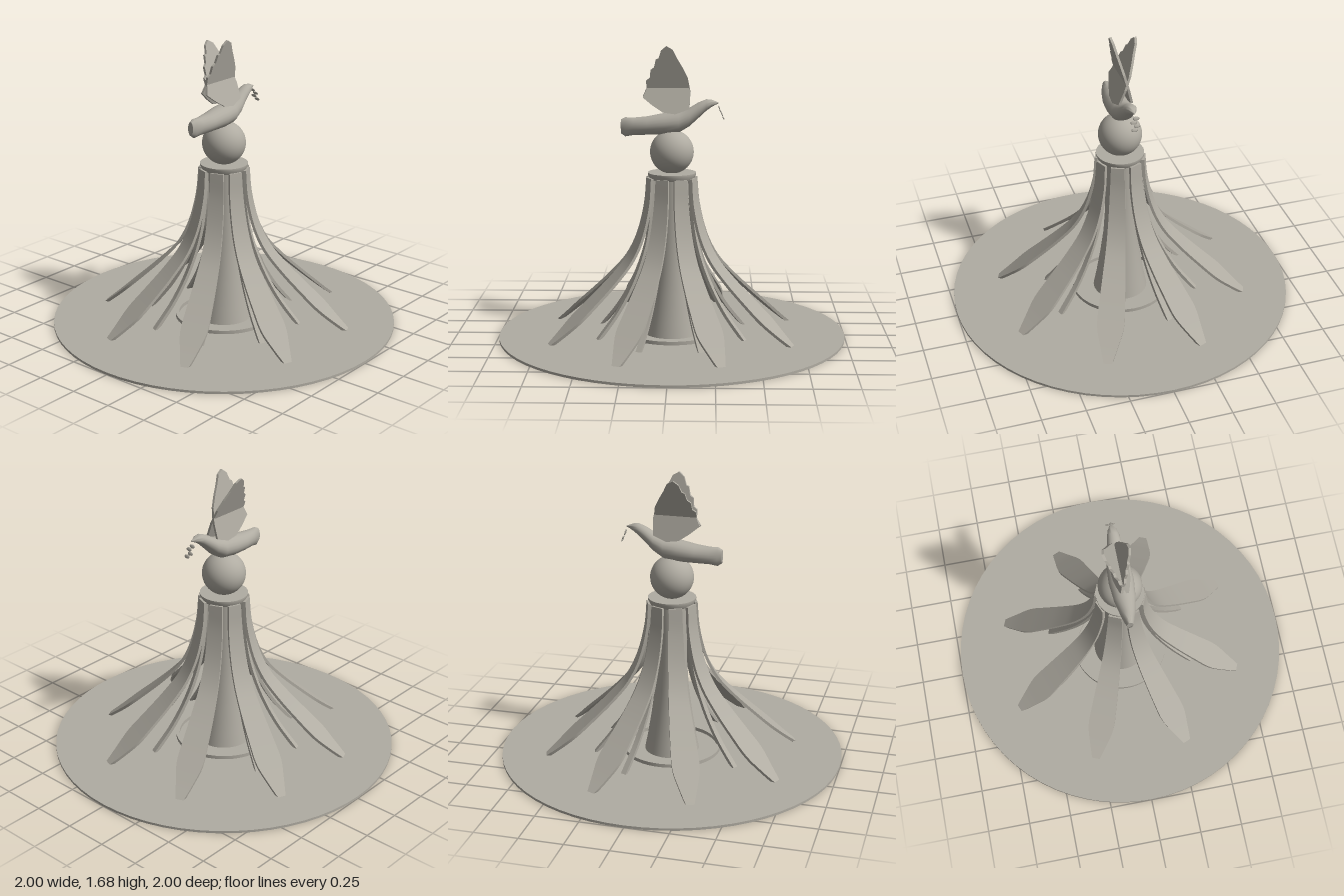
import * as THREE from 'three';
import { toCreasedNormals } from 'three/addons/utils/BufferGeometryUtils.js';

const stone = new THREE.MeshStandardMaterial({ color: 0xb0aca2 });
stone.name = 'warm grey stone';

// Skin a row of equal-sized cross-section rings and close both ends
function loft(rings, crease = 0.6) {
  const n = rings[0].length, last = rings.length - 1, index = [];
  for (let i = 0; i < last; i++) {
    for (let k = 0; k < n; k++) {
      const a = i * n + k, b = i * n + (k + 1) % n;
      index.push(a, a + n, b + n, a, b + n, b);
    }
  }
  for (let k = 1; k < n - 1; k++) {
    index.push(0, k, k + 1, last * n, last * n + k + 1, last * n + k);
  }
  const geo = new THREE.BufferGeometry();
  geo.setAttribute('position', new THREE.Float32BufferAttribute(rings.flat(2), 3));
  geo.setIndex(index);
  return toCreasedNormals(geo, crease);
}

// Curved plank from [radius, height, half width] points
function plank(points, thickness, steps) {
  const curve = new THREE.CatmullRomCurve3(points.map(p => new THREE.Vector3(...p)));
  const rings = [];
  for (let i = 0; i <= steps; i++) {
    const p = curve.getPoint(i / steps), t = curve.getTangent(i / steps);
    const len = Math.hypot(t.x, t.y);
    const x = p.x + (t.y / len) * thickness, y = Math.max(0.012, p.y - (t.x / len) * thickness);
    rings.push([[p.x, p.y, p.z], [p.x, p.y, -p.z], [x, y, -p.z], [x, y, p.z]]);
  }
  return loft(rings);
}

// Bird body from [x, bottom, top, half depth] stations
function birdBody() {
  const stations = [
    [-0.29, 1.18, 1.26, 0.018], [-0.265, 1.162, 1.272, 0.028], [-0.22, 1.17, 1.27, 0.042],
    [-0.14, 1.172, 1.278, 0.06], [-0.04, 1.174, 1.298, 0.07], [0.04, 1.185, 1.306, 0.066],
    [0.1, 1.222, 1.328, 0.055], [0.15, 1.268, 1.358, 0.042], [0.195, 1.31, 1.376, 0.034],
    [0.225, 1.332, 1.374, 0.024], [0.245, 1.343, 1.366, 0.012], [0.265, 1.352, 1.358, 0.003],
  ];
  return loft(stations.map(([x, lo, hi, w]) => Array.from({ length: 20 }, (_, k) => {
    const a = (k / 20) * Math.PI * 2;
    return [x, (lo + hi) / 2 + Math.sin(a) * (hi - lo) / 2, Math.cos(a) * w];
  })), 1);
}

// Raised wing leaning across the body's centre line
function wing(z0, lean, height) {
  const outline = [
    [0.02, 0], [0.1, 0.03], [0.105, 0.12], [0.09, 0.2], [0.06, 0.26], [0.03, 0.31], [0.005, 0.36],
    [-0.03, 0.38], [-0.06, 0.355], [-0.075, 0.31], [-0.09, 0.305], [-0.1, 0.26], [-0.12, 0.245],
    [-0.125, 0.2], [-0.145, 0.185], [-0.145, 0.14], [-0.165, 0.095], [-0.11, 0.05], [-0.05, 0.01],
  ];
  const shape = new THREE.Shape(outline.map(([x, y]) => new THREE.Vector2(x, y * height)));
  const geo = new THREE.ExtrudeGeometry(shape, { depth: 0.014, bevelEnabled: false });
  const pos = geo.attributes.position;
  for (let i = 0; i < pos.count; i++) {
    const y = pos.getY(i);
    pos.setXYZ(i, pos.getX(i), 1.295 + y, pos.getZ(i) - 0.007 + z0 + lean * y);
  }
  geo.computeVertexNormals();
  return geo;
}

export function createModel() {
  const model = new THREE.Group();
  model.name = 'birdMonument';
  const add = (name, geo, parent = model) => {
    const mesh = new THREE.Mesh(geo, stone);
    mesh.name = name;
    parent.add(mesh);
    return mesh;
  };
  const lathe = (pts, seg = 48) => toCreasedNormals(
    new THREE.LatheGeometry(pts.map(p => new THREE.Vector2(...p)), seg), 0.6);

  // Round ground plate
  add('basePlate', new THREE.CylinderGeometry(1, 1, 0.014, 64)).position.y = 0.007;

  // Low kerb ring around the column
  add('kerbRing', lathe([[0.265, 0.01], [0.285, 0.01], [0.285, 0.035], [0.265, 0.035], [0.265, 0.01]]));

  // Flared central column
  add('column', lathe([[0.16, 0.01], [0.142, 0.1], [0.118, 0.25], [0.098, 0.4], [0.088, 0.55],
    [0.085, 0.75], [0.09, 0.935]]));

  // Cap under the ball
  add('cap', lathe([[0, 0.92], [0.125, 0.92], [0.138, 0.945], [0.138, 0.957], [0, 0.957]]));

  // Eight petals with a thin rib beneath each
  const petal = plank([[0.142, 0.93, 0.038], [0.155, 0.78, 0.043], [0.2, 0.6, 0.049],
    [0.265, 0.47, 0.055], [0.36, 0.36, 0.064], [0.48, 0.245, 0.073], [0.585, 0.15, 0.076],
    [0.67, 0.075, 0.05], [0.745, 0.013, 0.023]], 0.016, 32);
  const rib = plank([[0.125, 0.92, 0.014], [0.135, 0.75, 0.014], [0.165, 0.55, 0.014],
    [0.235, 0.35, 0.015], [0.335, 0.17, 0.016], [0.46, 0.012, 0.017]], 0.018, 24);
  for (let i = 0; i < 8; i++) {
    const arm = new THREE.Group();
    arm.name = 'petalArm';
    arm.rotation.y = (i + 0.5) * Math.PI / 4;
    add('petal', petal, arm);
    add('rib', rib, arm);
    model.add(arm);
  }

  // Ball finial
  add('ball', new THREE.SphereGeometry(0.125, 32, 24)).position.y = 1.075;

  // Bird with raised wings
  const bird = new THREE.Group();
  bird.name = 'bird';
  model.add(bird);
  add('birdBody', birdBody(), bird);
  add('wingRight', wing(-0.045, 0.237, 1.01), bird);
  add('wingLeft', wing(0.045, -0.389, 0.96), bird);

  // Sprig of small leaves hanging at the beak
  const leaf = new THREE.SphereGeometry(1, 8, 6);
  for (let i = 0; i < 4; i++) {
    const m = add('sprigLeaf', leaf, bird);
    m.scale.set(0.004, 0.011, 0.019);
    m.position.set(0.268 + i * 0.008, 1.328 - i * 0.019, (i % 2 ? 1 : -1) * 0.008);
    m.rotation.z = 0.4;
  }
  return model;
}
